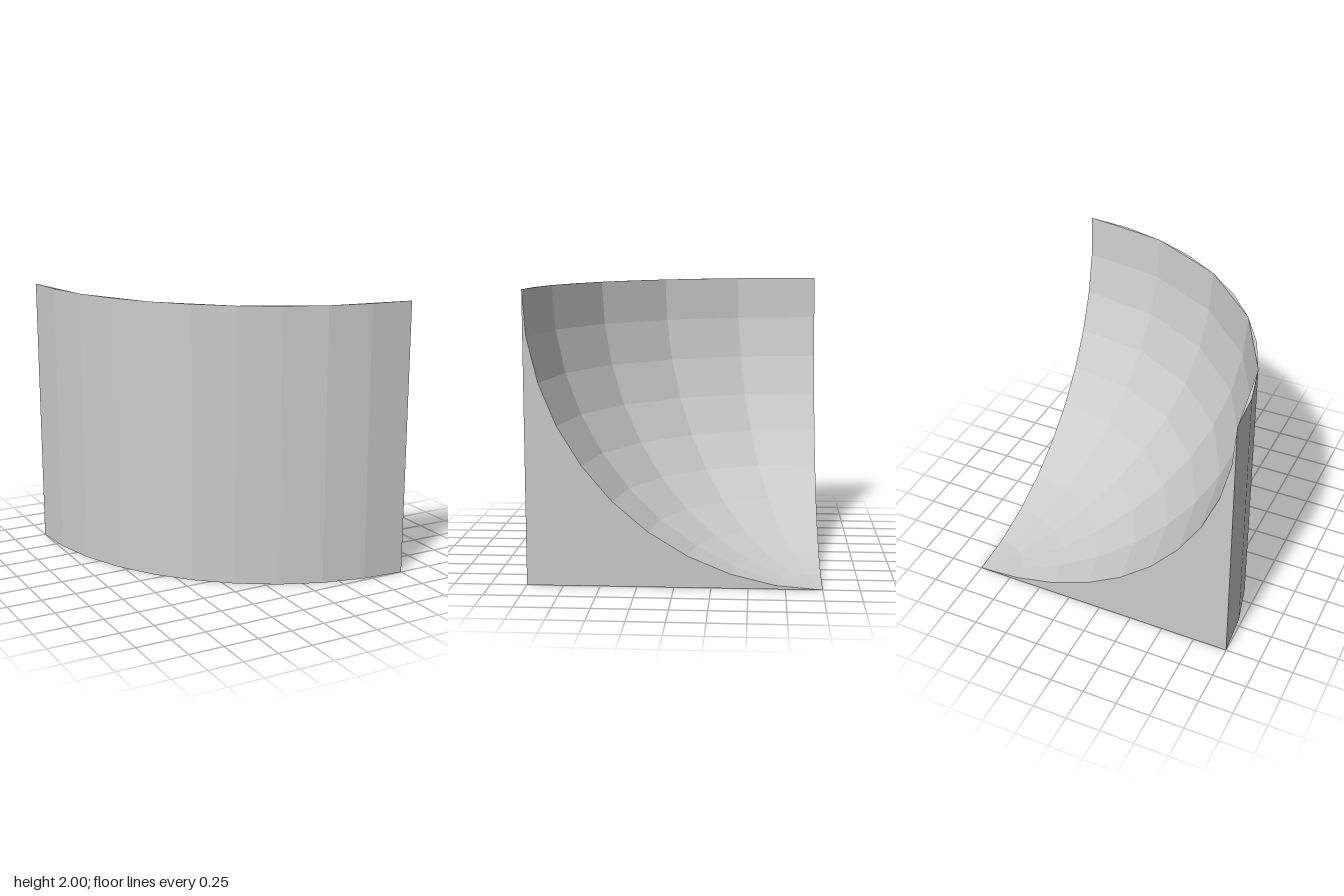
import * as THREE from 'three';

const R = 2;          // radius of both the outer wall and the scoop
const STEPS = 10;     // facets along the outer quarter arc
const START = Math.PI * 1.5;
const QUARTER = Math.PI / 2;

export function createModel() {
  const group = new THREE.Group();
  const material = new THREE.MeshStandardMaterial({ color: 0xcccccc, flatShading: true });
  const thin = material.clone();
  thin.side = THREE.DoubleSide;

  const add = (name, geometry, mat = material) => {
    const mesh = new THREE.Mesh(geometry, mat);
    mesh.name = name;
    mesh.position.set(1, 0, -1); // axis at the back left corner
    group.add(mesh);
    return mesh;
  };

  // Quarter-circle profile from the rim down to the tip
  const arc = [];
  for (let i = 0; i <= STEPS; i++) {
    const t = (i / STEPS) * QUARTER;
    const r = i === STEPS ? 0 : R * Math.cos(t);
    arc.push(new THREE.Vector2(r, R - R * Math.sin(t)));
  }

  // Base and curved outer wall
  const outline = [new THREE.Vector2(0, 0), new THREE.Vector2(R, 0), new THREE.Vector2(R, R)];
  add('baseAndOuterWall', new THREE.LatheGeometry(outline, STEPS, START, QUARTER));

  // Spherical scoop with half as many facets around
  add('sphericalScoop', new THREE.LatheGeometry(arc, STEPS / 2, START, QUARTER));

  // Two flat end walls under the arc
  const endShape = new THREE.Shape([new THREE.Vector2(R, 0), ...arc]);
  const endWall = new THREE.ShapeGeometry(endShape);
  add('backWall', endWall, thin).rotation.y = Math.PI;
  add('leftWall', endWall, thin).rotation.y = -Math.PI / 2;

  // Rim slivers between the coarse scoop and the finer outer wall
  const rim = [];
  for (let i = 0; i < STEPS; i += 2) {
    for (let k = 0; k < 3; k++) {
      const a = START + ((i + k) / STEPS) * QUARTER;
      rim.push(R * Math.sin(a), R, R * Math.cos(a));
    }
  }
  const rimGeometry = new THREE.BufferGeometry();
  rimGeometry.setAttribute('position', new THREE.Float32BufferAttribute(rim, 3));
  rimGeometry.computeVertexNormals();
  add('topRim', rimGeometry);

  return group;
}
